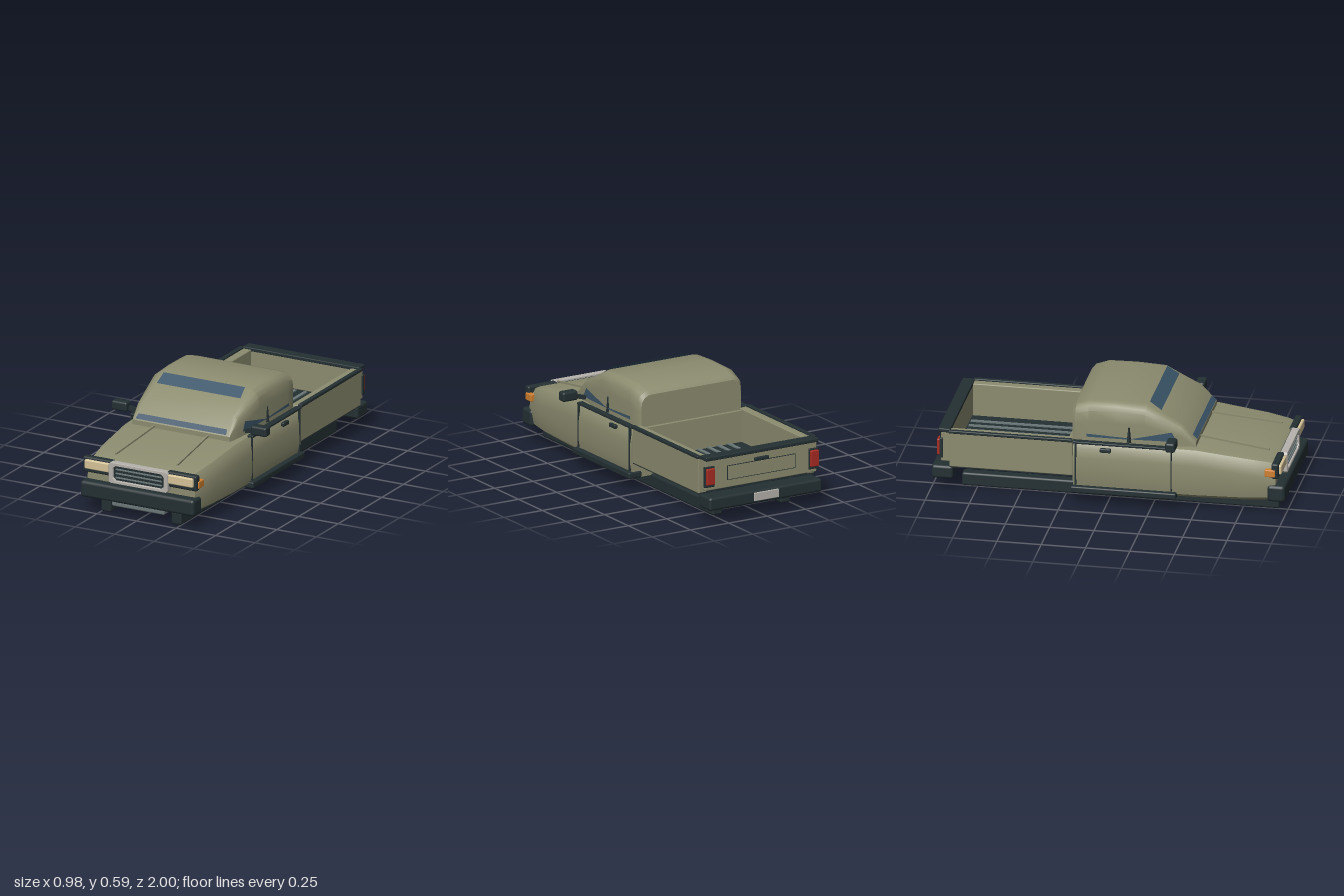
import * as THREE from 'three';
import { toCreasedNormals } from 'three/addons/utils/BufferGeometryUtils.js';
import { RoundedBoxGeometry } from 'three/addons/geometries/RoundedBoxGeometry.js';

const mat = (name, color, side = THREE.FrontSide) => {
  const m = new THREE.MeshStandardMaterial({ color, side });
  m.name = name;
  return m;
};

// Closed shell through mirrored half sections, listed from back to front.
// Each half section runs from the bottom outside corner up to the top.
function loft(sections) {
  const pos = [], idx = [];
  const n = sections[0].pts.length * 2;
  for (const { z, pts } of sections) {
    for (const [x, y] of pts) pos.push(x, y, z);
    for (const [x, y] of [...pts].reverse()) pos.push(-x, y, z);
  }
  for (let s = 0; s < sections.length - 1; s++) {
    for (let i = 0; i < n; i++) {
      const j = (i + 1) % n, a = s * n + i, b = s * n + j;
      idx.push(a, b, b + n, a, b + n, a + n);
    }
  }
  const last = (sections.length - 1) * n;
  for (let i = 1; i < n - 1; i++) {
    idx.push(last, last + i, last + i + 1, 0, i + 1, i);
  }
  const g = new THREE.BufferGeometry();
  g.setAttribute('position', new THREE.Float32BufferAttribute(pos, 3));
  g.setIndex(idx);
  return toCreasedNormals(g, 0.55);
}

export function createModel() {
  const group = new THREE.Group();
  group.name = 'pickupTruck';
  const paint = mat('olivePaint', 0x8c8c70);
  const dark = mat('darkTrim', 0x243033);
  const glass = mat('blueGlass', 0x3a5468, THREE.DoubleSide);
  const cream = mat('lampCream', 0xd6c498);
  const amber = mat('amber', 0xd08030);
  const red = mat('tailRed', 0xa82c22);
  const chrome = mat('chrome', 0xb6b2ac);
  const grey = mat('greyMetal', 0x6b7878);

  const add = (name, geo, material) => {
    const m = new THREE.Mesh(geo, material);
    m.name = name;
    group.add(m);
    return m;
  };
  // Box given by its minimum and maximum on each axis; r rounds the edges
  const box = (name, material, [x0, x1], [y0, y1], [z0, z1], r = 0) => {
    const s = [x1 - x0, y1 - y0, z1 - z0];
    const m = add(name, r ? new RoundedBoxGeometry(...s, 2, r) : new THREE.BoxGeometry(...s), material);
    m.position.set((x0 + x1) / 2, (y0 + y1) / 2, (z0 + z1) / 2);
    return m;
  };
  const pair = (name, material, [x0, x1], y, z, r) => {
    box(name + 'Left', material, [x0, x1], y, z, r);
    box(name + 'Right', material, [-x1, -x0], y, z, r);
  };
  // Thin bar between two points
  const bar = (name, material, a, b, w, h) => {
    const p = new THREE.Vector3(...a), q = new THREE.Vector3(...b);
    const m = add(name, new THREE.BoxGeometry(w, h, p.distanceTo(q)), material);
    m.position.copy(p).lerp(q, 0.5);
    m.lookAt(q);
    return m;
  };
  // Flat polygon facing either way
  const pane = (name, material, pts) => {
    const g = new THREE.BufferGeometry();
    g.setAttribute('position', new THREE.Float32BufferAttribute(pts.flat(), 3));
    g.setIndex(pts.length === 4 ? [0, 1, 2, 0, 2, 3] : [0, 1, 2]);
    g.computeVertexNormals();
    return add(name, g, material);
  };

  // Lower body with hood: z, half width, bottom, top
  const body = [
    [-0.19, 0.385, 0.07, 0.362], [0.37, 0.385, 0.07, 0.362], [0.5, 0.383, 0.07, 0.36],
    [0.78, 0.37, 0.072, 0.327], [0.9, 0.353, 0.075, 0.31], [0.945, 0.342, 0.08, 0.295],
  ].map(([z, w, b, t]) => ({ z, pts: [
    [w - 0.045, b], [w - 0.012, b + 0.025], [w, b + 0.09], [w - 0.003, t - 0.09],
    [w - 0.012, t - 0.035], [w - 0.033, t - 0.006], [w - 0.06, t]] }));
  add('bodyAndHood', loft(body), paint);

  // Cab: z, half width, roof height
  const cab = [
    [-0.203, 0.325, 0.54], [-0.185, 0.337, 0.56], [-0.11, 0.342, 0.586], [0.05, 0.342, 0.589],
    [0.21, 0.34, 0.582], [0.3, 0.334, 0.536], [0.41, 0.322, 0.48], [0.465, 0.315, 0.416], [0.492, 0.31, 0.388],
  ].map(([z, w, t]) => {
    const c = Math.min(1, (t - 0.355) / 0.2);
    return { z, pts: [[w, 0.34], [w, 0.34 + (t - 0.34) * 0.55], [w - 0.004, t - 0.045 * c],
      [w - 0.02 * c, t - 0.02 * c], [w - 0.045 * c, t - 0.004 * c], [w - 0.07 * c, t]] };
  });
  add('cab', loft(cab), paint);

  // Visible windscreen bands
  pane('windscreenUpper', glass, [[-0.265, 0.546, 0.289], [0.265, 0.546, 0.289], [0.257, 0.59, 0.222], [-0.257, 0.59, 0.222]]);
  pane('windscreenLower', glass, [[-0.287, 0.397, 0.494], [0.287, 0.397, 0.494], [0.28, 0.421, 0.468], [-0.28, 0.421, 0.468]]);

  for (const s of [1, -1]) {
    const side = s > 0 ? 'Left' : 'Right';
    // Side glass, quarter pillar and mirror
    pane('frontSideGlass' + side, glass, [[s * 0.335, 0.39, 0.39], [s * 0.346, 0.39, 0.12], [s * 0.335, 0.445, 0.36]]);
    pane('rearSideGlass' + side, glass, [[s * 0.346, 0.388, 0.12], [s * 0.346, 0.388, -0.12], [s * 0.346, 0.406, -0.12], [s * 0.346, 0.396, 0.12]]);
    const post = new THREE.CylinderGeometry(0.004, 0.013, 0.09, 4);
    add('windowPost' + side, post, dark).position.set(s * 0.342, 0.415, 0.12);
    bar('mirrorArm' + side, dark, [s * 0.34, 0.392, 0.36], [s * 0.41, 0.41, 0.375], 0.022, 0.022);
    // Hood ridges
    bar('hoodRidge' + side, paint, [s * 0.17, 0.371, 0.49], [s * 0.194, 0.327, 0.885], 0.01, 0.01);
  }
  pair('mirror', dark, [0.392, 0.49], [0.387, 0.442], [0.35, 0.405], 0.012);

  // Door trim, seams, handles and running boards
  pair('beltTrim', dark, [0.352, 0.389], [0.357, 0.371], [-0.19, 0.37], 0.004);
  pair('doorFrontSeam', dark, [0.375, 0.386], [0.11, 0.36], [0.362, 0.368]);
  pair('doorRearSeam', dark, [0.375, 0.388], [0.11, 0.36], [-0.178, -0.17]);
  pair('doorHandle', dark, [0.375, 0.396], [0.317, 0.341], [-0.036, 0.026], 0.006);
  pair('runningBoard', dark, [0.32, 0.405], [0.07, 0.106], [-0.2, 0.395], 0.008);

  // Chassis rails
  pair('chassisRail', dark, [0.19, 0.255], [0, 0.077], [-0.84, 0.95], 0.012);

  // Cargo bed
  box('bedFloor', dark, [-0.33, 0.33], [0.16, 0.18], [-0.89, -0.19]);
  for (let i = 0; i < 8; i++) {
    const x = -0.231 + i * 0.066;
    box('floorRib' + (i + 1), grey, [x - 0.01, x + 0.01], [0.179, 0.187], [-0.88, -0.225]);
  }
  pair('bedSide', paint, [0.316, 0.377], [0.16, 0.37], [-0.888, -0.193], 0.006);
  pair('bedRail', dark, [0.362, 0.388], [0.362, 0.38], [-0.89, -0.193], 0.005);
  pair('bedSill', dark, [0.33, 0.372], [0.155, 0.165], [-0.888, -0.193]);
  box('bedHeadboard', paint, [-0.33, 0.33], [0.16, 0.36], [-0.225, -0.19]);

  // Tailgate with pressed panel, handle and lamps
  box('tailgate', paint, [-0.362, 0.362], [0.185, 0.365], [-0.937, -0.885], 0.005);
  box('tailgateCap', dark, [-0.368, 0.368], [0.359, 0.381], [-0.952, -0.884], 0.005);
  box('tailgatePanelSeam', dark, [-0.222, 0.222], [0.228, 0.312], [-0.939, -0.93]);
  box('tailgatePanel', paint, [-0.218, 0.218], [0.232, 0.308], [-0.941, -0.93]);
  box('tailgateHandle', dark, [-0.045, 0.045], [0.312, 0.332], [-0.95, -0.93], 0.005);
  pair('tailLampHousing', dark, [0.308, 0.37], [0.205, 0.325], [-0.945, -0.925], 0.004);
  pair('tailLamp', red, [0.313, 0.366], [0.222, 0.315], [-0.96, -0.935], 0.005);

  // Bumpers
  box('rearBumper', dark, [-0.367, 0.367], [0.08, 0.156], [-0.99, -0.87], 0.015);
  box('numberPlate', chrome, [-0.08, 0.08], [0.097, 0.145], [-0.998, -0.985], 0.003);
  box('frontBumper', dark, [-0.36, 0.36], [0.082, 0.178], [0.9, 1], 0.018);
  box('skidPlate', grey, [-0.167, 0.167], [0.055, 0.09], [0.9, 0.985], 0.01);

  // Front lamps
  pair('headlampHousing', dark, [0.17, 0.36], [0.22, 0.31], [0.925, 0.965], 0.01);
  pair('headlamp', cream, [0.184, 0.343], [0.243, 0.297], [0.94, 0.98], 0.008);
  pair('turnSignal', amber, [0.335, 0.367], [0.232, 0.275], [0.888, 0.948], 0.006);

  // Grille: chrome surround with a chamfered opening, dark mesh and bars
  const octagon = (shape, w, y0, y1, c) => {
    const p = [[-w + c, y0], [w - c, y0], [w, y0 + c], [w, y1 - c], [w - c, y1], [-w + c, y1], [-w, y1 - c], [-w, y0 + c]];
    shape.setFromPoints(p.map(([x, y]) => new THREE.Vector2(x, y)));
    return shape;
  };
  const frame = octagon(new THREE.Shape(), 0.185, 0.19, 0.307, 0.01);
  frame.holes.push(octagon(new THREE.Path(), 0.163, 0.203, 0.293, 0.018));
  const surround = new THREE.ExtrudeGeometry(frame, {
    depth: 0.035, bevelEnabled: true, bevelThickness: 0.003, bevelSize: 0.002, bevelSegments: 1 });
  add('grilleSurround', surround, chrome).position.z = 0.945;
  box('grilleBack', dark, [-0.17, 0.17], [0.198, 0.298], [0.935, 0.968]);
  for (const y of [0.223, 0.247, 0.271]) {
    box('grilleBar', grey, [-0.145, 0.145], [y - 0.003, y + 0.003], [0.965, 0.978]);
  }
  return group;
}
